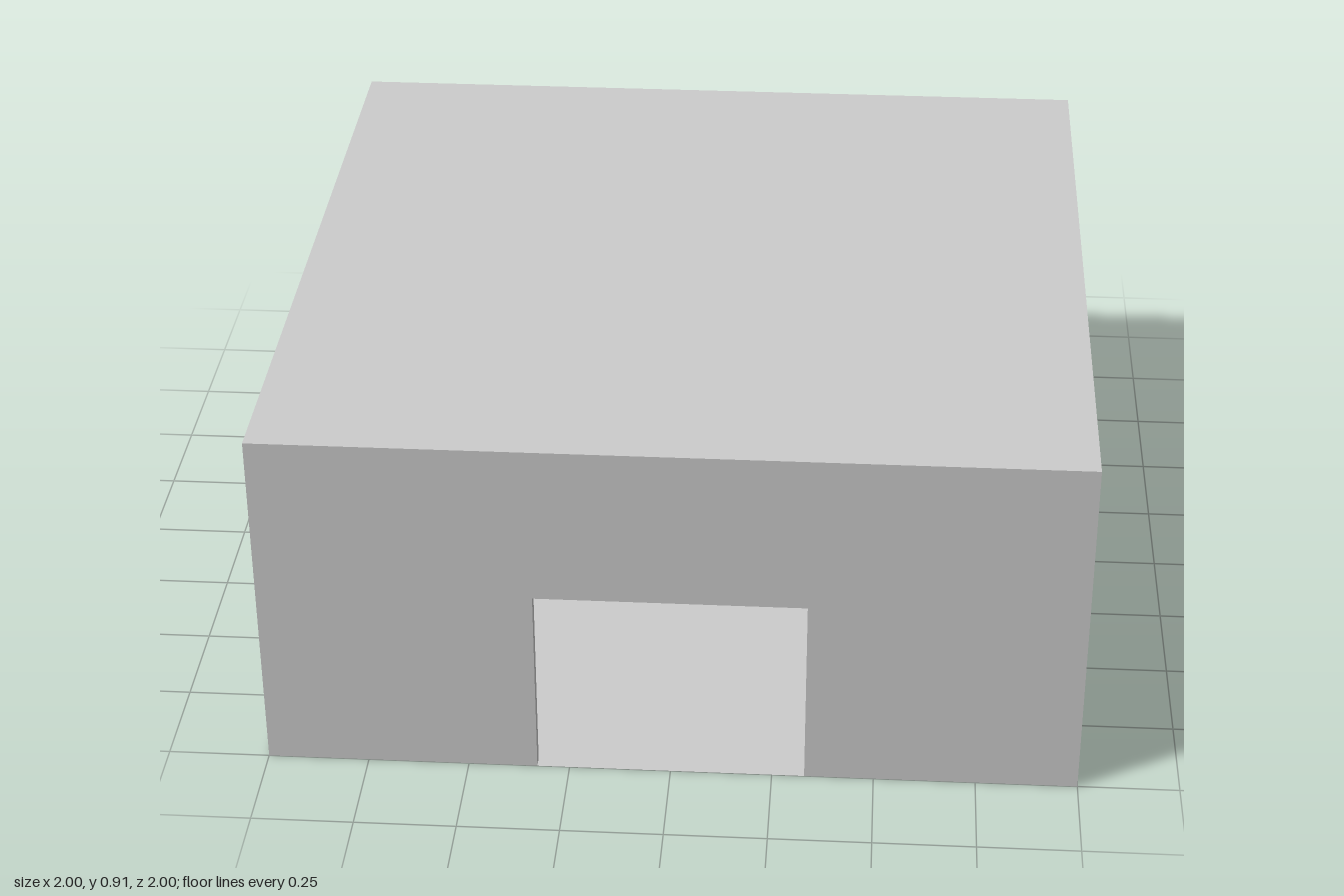
import * as THREE from 'three';

const H = 0.91;      // overall height
const T = 0.03;      // wall thickness
const DOOR_W = 0.33; // half width of each doorway
const DOOR_H = 0.5;

export function createModel() {
  const group = new THREE.Group();
  const mat = new THREE.MeshStandardMaterial({ color: 0xcccccc });
  const thin = new THREE.MeshStandardMaterial({ color: 0xcccccc, side: THREE.DoubleSide });

  const add = (name, geometry, material, parent = group) => {
    const mesh = new THREE.Mesh(geometry, material);
    mesh.name = name;
    parent.add(mesh);
    return mesh;
  };

  // Thin floor and flat roof
  const sheet = new THREE.PlaneGeometry(2, 2).rotateX(-Math.PI / 2);
  add('floor', sheet, thin);
  add('roof', sheet, thin).position.y = H;

  // Wall outline with a doorway notch; one end stops short so the walls meet at corners
  const outline = new THREE.Shape([
    [-1, 0], [-DOOR_W, 0], [-DOOR_W, DOOR_H], [DOOR_W, DOOR_H],
    [DOOR_W, 0], [1 - T, 0], [1 - T, H], [-1, H],
  ].map(([x, y]) => new THREE.Vector2(x, y)));
  const wallGeo = new THREE.ExtrudeGeometry(outline, { depth: T, bevelEnabled: false });
  wallGeo.translate(0, 0, 1 - T);

  // Small coved cornice where each wall meets the ceiling
  const cove = new THREE.Shape();
  cove.moveTo(0, H - 0.002);
  cove.lineTo(0, 0.79);
  cove.quadraticCurveTo(0.005, 0.85, 0.035, 0.86);
  cove.lineTo(0.035, H - 0.002);
  const corniceGeo = new THREE.ExtrudeGeometry(cove, {
    depth: 2 - 2 * T, bevelEnabled: false, curveSegments: 8,
  });
  corniceGeo.rotateY(Math.PI / 2).translate(T - 1, 0, 1 - T);

  // Four identical sides
  ['front', 'left', 'back', 'right'].forEach((side, i) => {
    const part = new THREE.Group();
    part.name = `${side}Side`;
    part.rotation.y = i * Math.PI / 2;
    add(`${side}Wall`, wallGeo, mat, part);
    add(`${side}Cornice`, corniceGeo, mat, part);
    group.add(part);
  });

  return group;
}
